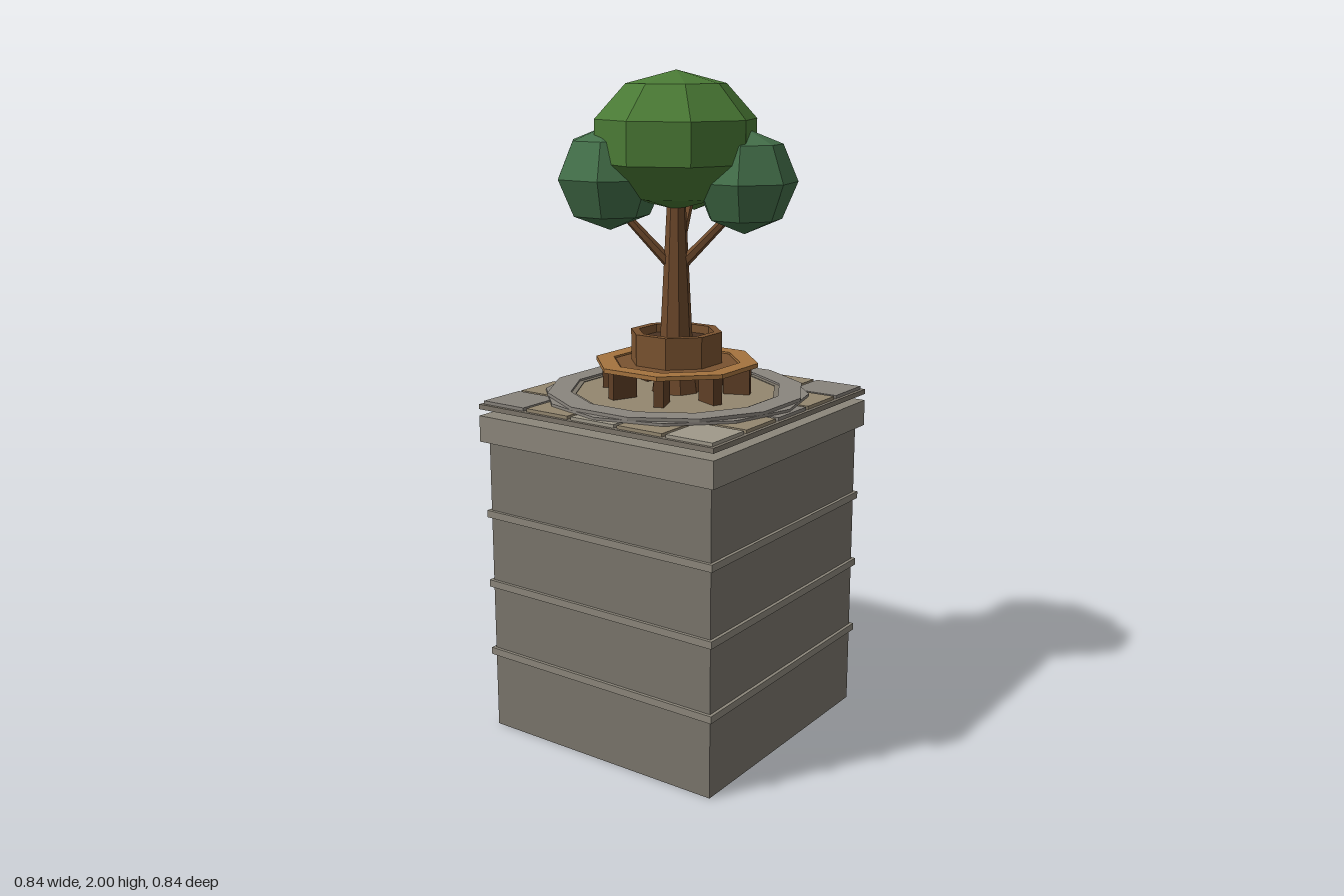
import * as THREE from 'three';

const DEG = Math.PI / 180;
const material = (color) => new THREE.MeshStandardMaterial({ color, flatShading: true });

const MAT = {
  wall: material(0x7a756c),
  trim: material(0x8c877b),
  slab: material(0x7d766a),
  tileLight: material(0x9f998a),
  tileGrey: material(0x88837c),
  tileTan: material(0x93866f),
  curb: material(0x8a857e),
  bench: material(0xa5733e),
  wood: material(0x7a5330),
  darkWood: material(0x5f3f26),
  soil: material(0x4a3322),
  bark: material(0x6f4a2c),
  leaf: material(0x4a7a35),
  leafDark: material(0x44704a),
};

export function createModel() {
  const model = new THREE.Group();
  model.name = 'treePlinth';

  function add(name, geometry, mat, x = 0, y = 0, z = 0) {
    const mesh = new THREE.Mesh(geometry, mat);
    mesh.name = name;
    mesh.position.set(x, y, z);
    model.add(mesh);
    return mesh;
  }

  // Square block spanning y0..y1
  const block = (name, width, y0, y1, mat) =>
    add(name, new THREE.BoxGeometry(width, y1 - y0, width), mat, 0, (y0 + y1) / 2);

  // Polygonal ring with a rectangular section
  function ring(name, inner, outer, y0, y1, sides, turn, mat) {
    const profile = [[inner, y0], [outer, y0], [outer, y1], [inner, y1], [inner, y0]]
      .map(([r, y]) => new THREE.Vector2(r, y));
    return add(name, new THREE.LatheGeometry(profile, sides, turn), mat);
  }

  // Polygonal disc spanning y0..y1
  const disc = (name, r, y0, y1, sides, turn, mat) =>
    add(name, new THREE.CylinderGeometry(r, r, y1 - y0, sides, 1, false, turn), mat, 0, (y0 + y1) / 2);

  // Tapered limb between two points
  function limb(name, from, to, r0, r1, sides) {
    const a = new THREE.Vector3(...from);
    const b = new THREE.Vector3(...to);
    const dir = b.clone().sub(a);
    const mesh = add(name, new THREE.CylinderGeometry(r1, r0, dir.length(), sides), MAT.bark);
    mesh.position.copy(a).add(b).multiplyScalar(0.5);
    mesh.quaternion.setFromUnitVectors(new THREE.Vector3(0, 1, 0), dir.normalize());
  }

  // Column with bands and cap
  block('column', 0.8, 0, 0.92, MAT.wall);
  for (const y of [0.247, 0.47, 0.693]) block('columnBand', 0.82, y - 0.011, y + 0.011, MAT.trim);
  block('columnCap', 0.84, 0.92, 1.0, MAT.trim);
  block('pavingSlab', 0.84, 1.02, 1.035, MAT.slab);

  // Five by five paving tiles
  for (let i = -2; i <= 2; i++) {
    for (let j = -2; j <= 2; j++) {
      const odd = (i + j) % 2 !== 0;
      const light = i === j || (i === 0 && Math.abs(j) === 2);
      const mat = odd ? MAT.tileTan : light ? MAT.tileLight : MAT.tileGrey;
      add('pavingTile', new THREE.BoxGeometry(0.154, 0.01, 0.154), mat, i * 0.166, 1.04, j * 0.166);
    }
  }

  // Stepped round curb and its floor
  ring('lowerCurb', 0.3, 0.4, 1.045, 1.053, 12, 0, MAT.curb);
  ring('upperCurb', 0.32, 0.39, 1.053, 1.063, 12, 15 * DEG, MAT.curb);
  ring('curbInnerTrim', 0.305, 0.322, 1.045, 1.057, 12, 15 * DEG, MAT.slab);
  disc('innerPaving', 0.31, 1.045, 1.055, 12, 15 * DEG, MAT.tileTan);

  // Octagonal bench on radial legs
  const octTurn = 22.5 * DEG;
  ring('benchSeat', 0.195, 0.25, 1.137, 1.15, 8, octTurn, MAT.bench);
  ring('benchInnerSlat', 0.14, 0.19, 1.135, 1.146, 8, octTurn, MAT.wood);
  for (let k = 0; k < 8; k++) {
    const a = octTurn + k * 45 * DEG;
    const leg = add('benchLeg', new THREE.BoxGeometry(0.08, 0.085, 0.03), MAT.darkWood,
      0.187 * Math.cos(a), 1.0955, 0.187 * Math.sin(a));
    leg.rotation.y = -a;
  }

  // Planter around the trunk
  ring('planterWall', 0.115, 0.14, 1.14, 1.24, 8, octTurn, MAT.wood);
  disc('planterSoil', 0.118, 1.14, 1.215, 8, octTurn, MAT.soil);

  // Trunk and branches
  limb('trunkBase', [0, 1.05, 0], [0, 1.22, 0], 0.075, 0.05, 8);
  limb('trunk', [0, 1.2, 0], [0, 1.68, 0], 0.05, 0.025, 8);
  limb('leftBranch', [0, 1.42, 0], [0.16, 1.6, -0.065], 0.018, 0.012, 6);
  limb('rightBranch', [0, 1.42, 0], [-0.14, 1.6, 0.09], 0.018, 0.012, 6);
  limb('backBranch', [0, 1.45, 0], [-0.05, 1.63, -0.15], 0.016, 0.011, 6);

  // Foliage clumps: flattened faceted spheres
  function clump(name, r, ry, sides, rows, turn, mat, x, y, z) {
    const mesh = add(name, new THREE.SphereGeometry(r, sides, rows), mat, x, y, z);
    mesh.scale.y = ry / r;
    mesh.rotation.y = turn;
  }
  clump('crown', 0.252, 0.2, 8, 5, 0, MAT.leaf, 0, 1.8, 0);
  clump('rightFoliage', 0.166, 0.153, 7, 4, 0.224, MAT.leafDark, -0.165, 1.692, 0.105);
  clump('leftFoliage', 0.156, 0.152, 7, 4, 0.22, MAT.leafDark, 0.188, 1.685, -0.078);
  clump('backFoliage', 0.132, 0.12, 7, 4, 0.25, MAT.leaf, -0.063, 1.7, -0.182);

  return model;
}
